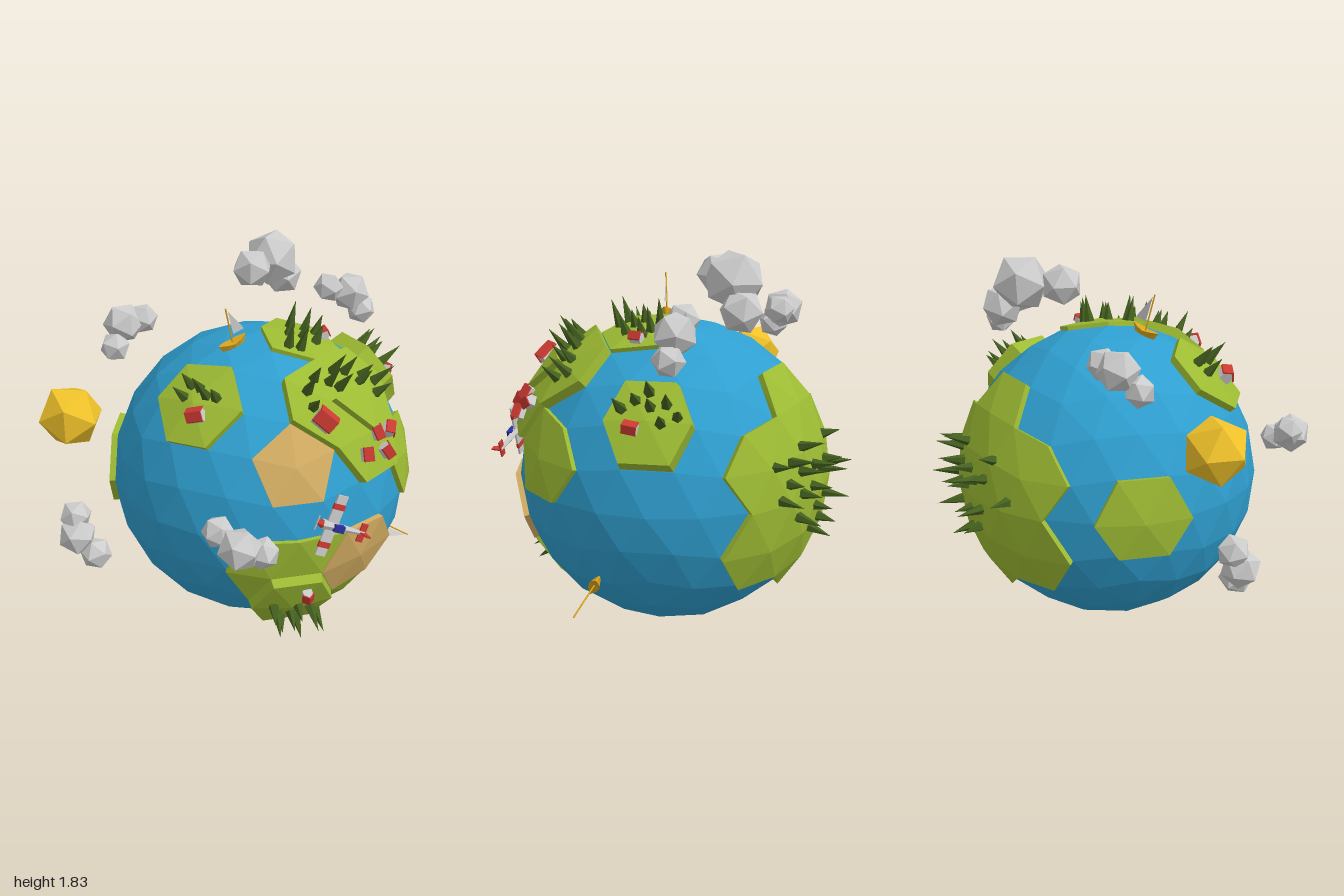
import * as THREE from 'three';

const R = 0.74, CENTER = new THREE.Vector3(0.12, 0.74, -0.08);
const V = (x, y, z) => new THREE.Vector3(x, y, z);
const mat = (color) => new THREE.MeshStandardMaterial({ color, flatShading: true, side: THREE.DoubleSide });
const M = {
  water: mat(0x2f9fd0), grass: mat(0x9dbb33), sand: mat(0xd2ac62), tree: mat(0x44601f), red: mat(0xcc3a32),
  grey: mat(0xcccccc), sun: mat(0xf0c22a), wood: mat(0xd9a520), blue: mat(0x2a2fa0)
};

// Unit direction: az runs from +z towards +x, lat is up from the equator (degrees)
function polar(az, lat) {
  const a = az * Math.PI / 180, l = lat * Math.PI / 180;
  return V(Math.sin(a) * Math.cos(l), Math.sin(l), Math.cos(a) * Math.cos(l));
}

function add(parent, name, geo, material, x = 0, y = 0, z = 0) {
  const m = new THREE.Mesh(geo, material);
  m.name = name;
  m.position.set(x, y, z);
  parent.add(m);
  return m;
}

function triangles(points) {
  const g = new THREE.BufferGeometry().setFromPoints(points);
  g.computeVertexNormals();
  return g;
}

// Icosahedron with a vertex at each pole, split twice into 320 faces
function makeIcosphere() {
  const verts = [], keys = new Map();
  const id = (v) => {
    const k = v.toArray().map((n) => Math.round(n * 1e4) + 0).join();
    if (!keys.has(k)) { keys.set(k, verts.length); verts.push(v); }
    return keys.get(k);
  };
  const lat = Math.atan(0.5) * 180 / Math.PI;
  const N = id(V(0, 1, 0)), S = id(V(0, -1, 0));
  const U = [], L = [];
  for (let k = 0; k < 5; k++) { U.push(id(polar(18 + 72 * k, lat))); L.push(id(polar(54 + 72 * k, -lat))); }
  let faces = [];
  for (let k = 0; k < 5; k++) {
    const n = (k + 1) % 5;
    faces.push([N, U[k], U[n]], [U[k], L[k], U[n]], [U[n], L[k], L[n]], [S, L[n], L[k]]);
  }
  const mid = (a, b) => id(verts[a].clone().add(verts[b]).normalize());
  for (let i = 0; i < 2; i++) {
    faces = faces.flatMap(([a, b, c]) => {
      const d = mid(a, b), e = mid(b, c), f = mid(c, a);
      return [[a, d, f], [d, b, e], [f, e, c], [d, e, f]];
    });
  }
  return { verts, faces };
}

// Raised plate over a set of sphere faces: top plus sloping rim
function slabGeometry(verts, faces, base, height, inset) {
  const edges = new Set(faces.flatMap(([a, b, c]) => [`${a},${b}`, `${b},${c}`, `${c},${a}`]));
  const rim = [...edges].map((e) => e.split(',').map(Number)).filter(([a, b]) => !edges.has(`${b},${a}`));
  const onRim = new Set(rim.flat());
  const top = (i) => {
    const v = verts[i].clone();
    if (onRim.has(i)) {
      const c = V(0, 0, 0);
      faces.filter((f) => f.includes(i)).forEach((f) => f.forEach((j) => c.add(verts[j])));
      v.lerp(c.normalize(), inset).normalize();
    }
    return v.multiplyScalar(R + height);
  };
  const low = (i) => verts[i].clone().multiplyScalar(R + base);
  const pts = faces.flatMap((f) => f.map(top));
  for (const [a, b] of rim) pts.push(low(a), low(b), top(b), low(a), top(b), top(a));
  return triangles(pts);
}

// Group standing on the globe
function stand(parent, name, dir, height, spin = 0) {
  const g = new THREE.Group();
  g.name = name;
  g.position.copy(dir).multiplyScalar(R - 0.01 + height);
  g.quaternion.setFromUnitVectors(V(0, 1, 0), dir);
  g.rotateY(spin);
  parent.add(g);
  return g;
}

// Turn a group so +y is up and +z is forward
function aim(g, up, forward) {
  const x = up.clone().cross(forward).normalize();
  const z = x.clone().cross(up).normalize();
  g.quaternion.setFromRotationMatrix(new THREE.Matrix4().makeBasis(x, up, z));
}

function prism(points, depth) {
  const shape = new THREE.Shape(points.map(([x, y]) => new THREE.Vector2(x, y)));
  return new THREE.ExtrudeGeometry(shape, { depth, bevelEnabled: false }).translate(0, 0, -depth / 2);
}

function addHouse(parent, az, lat, h, s, spin) {
  const g = stand(parent, 'house', polar(az, lat), h, spin);
  add(g, 'houseWalls', prism([[-0.4 * s, 0], [0.4 * s, 0], [0.4 * s, 0.5 * s], [0, 0.85 * s], [-0.4 * s, 0.5 * s]], s), M.grey);
  add(g, 'houseRoof', prism([[-0.52 * s, 0.42 * s], [0, 0.86 * s], [0.52 * s, 0.42 * s], [0.52 * s, 0.55 * s], [0, s], [-0.52 * s, 0.55 * s]], 1.12 * s), M.red);
}

function addBoat(parent, up, forward) {
  const g = stand(parent, 'sailboat', up, 0.015);
  aim(g, up, forward);
  // Hull tapers to points at both ends and narrows at the keel
  const hull = new THREE.BoxGeometry(0.055, 0.03, 0.15, 1, 1, 4), p = hull.attributes.position;
  for (let i = 0; i < p.count; i++) {
    const t = Math.abs(p.getZ(i)) / 0.075, keel = p.getY(i) < 0;
    p.setX(i, p.getX(i) * (1 - 0.85 * t * t) * (keel ? 0.6 : 1));
    p.setZ(i, p.getZ(i) * (keel ? 0.8 : 1));
    if (!keel) p.setY(i, 0.01 + 0.012 * t);
  }
  add(g, 'hull', hull, M.wood, 0, 0.01, 0);
  add(g, 'mast', new THREE.CylinderGeometry(0.004, 0.004, 0.19, 5), M.wood, 0, 0.11, 0);
  add(g, 'sail', triangles([V(0, 0.19, 0.008), V(0, 0.06, 0.012), V(0, 0.06, 0.075)]), M.grey);
}

function addPlane(parent) {
  const g = new THREE.Group();
  g.name = 'airplane';
  g.position.copy(V(0.53, 0.835, 0.655).sub(CENTER));
  const f = V(-0.25, 0.11, 0.09).normalize(), x = V(-0.1, -0.29, 0.07).normalize();
  aim(g, f.clone().cross(x).normalize(), f);
  parent.add(g);
  const body = new THREE.CylinderGeometry(0.024, 0.009, 0.22, 6).rotateX(Math.PI / 2);
  add(g, 'fuselage', body, M.grey, 0, 0, -0.02);
  add(g, 'nose', new THREE.CylinderGeometry(0.01, 0.024, 0.025, 6).rotateX(Math.PI / 2), M.red, 0, 0, 0.1);
  add(g, 'propeller', new THREE.BoxGeometry(0.07, 0.008, 0.004), M.grey, 0, 0, 0.115);
  add(g, 'cockpit', new THREE.BoxGeometry(0.032, 0.03, 0.05), M.blue, 0, 0.016, 0.01);
  add(g, 'wing', new THREE.BoxGeometry(0.22, 0.01, 0.055), M.grey, 0, 0, 0.04);
  for (const s of [-1, 1]) {
    add(g, 'wingTip', new THREE.BoxGeometry(0.04, 0.01, 0.05), M.grey, s * 0.13, 0, 0.04);
    add(g, 'wingBand', new THREE.BoxGeometry(0.028, 0.013, 0.057), M.red, s * 0.095, 0, 0.04);
  }
  add(g, 'tailWing', new THREE.BoxGeometry(0.09, 0.008, 0.032), M.red, 0, 0, -0.12);
  add(g, 'tailFin', prism([[0.1, 0], [0.14, 0], [0.145, 0.045], [0.125, 0.045]], 0.008).rotateY(Math.PI / 2), M.red);
}

export function createModel() {
  const model = new THREE.Group();
  model.name = 'littlePlanet';
  const globe = new THREE.Group();
  globe.name = 'globe';
  globe.position.copy(CENTER);
  model.add(globe);

  const { verts, faces } = makeIcosphere();
  add(globe, 'ocean', triangles(faces.flatMap((f) => f.map((i) => verts[i].clone().multiplyScalar(R)))), M.water);

  // Land: each entry is a union of the tiles around the given [az, lat] vertices
  const nearest = ([az, lat]) => {
    const d = polar(az, lat);
    return verts.reduce((best, v, i) => (v.dot(d) > verts[best].dot(d) ? i : best), 0);
  };
  const land = (name, tiles, height, inset, material = M.grass, base = -0.01) => {
    const ids = tiles.map(nearest);
    const chosen = faces.filter((f) => f.some((i) => ids.includes(i)));
    add(globe, name, slabGeometry(verts, chosen, base, height, inset), material);
  };
  land('frontLand', [[9, -14], [27, -14], [18, -31.7], [30, -46], [36, -29]], 0.02, 0.04);
  land('frontDune', [[45, -14]], 0.026, 0.03, M.sand);
  land('frontPlateau', [[18, -31.7]], 0.06, 0.2, M.grass, 0.015);
  land('beach', [[18, 26.6]], 0.012, 0.02, M.sand);
  land('hillLand', [[54, 31.7], [42, 46], [66, 46]], 0.05, 0.06);
  land('sideIsland', [[81, 14]], 0.025, 0.04);
  land('westIsland', [[-90, 0]], 0.03, 0.05);
  land('northWestIsland', [[-30, 46]], 0.035, 0.06);
  land('topIsland', [[90, 74]], 0.02, 0.05);
  land('cliffIsland', [[126, 31.7]], 0.08, 0.3);
  land('backLand', [[198, 31.7], [171, 14], [189, 14], [207, 14], [225, 14],
    [171, -14], [189, -14], [207, -14], [225, -14], [198, -26.6]], 0.03, 0.04);
  const step = [[42, 46], [66, 46], [54, 31.7]].map(nearest);
  add(globe, 'hillStep', slabGeometry(verts, faces.filter((f) => f.every((i) => step.includes(i))), 0.045, 0.08, 0.05), M.grass);

  // Trees: [ground height, list of [az, lat]]
  const woods = [
    [0.03, [[173, 14], [188, 18], [179, 7], [186, 10], [195, 10], [210, 17], [175, 2], [186, 2], [193, 3], [200, 7],
      [206, 9], [219, 4], [184, -6], [196, -5], [204, -3], [194, -13], [201, -11], [181, 14]]],
    [0.06, [[10, -30], [18, -36], [26, -34], [14, -40], [22, -42], [30, -38], [20, -31], [12, -35]]],
    [0.035, [[-38, 47], [-32, 52], [-26, 50], [-20, 50], [-38, 52]]],
    [0.02, [[116, 78], [78, 79], [45, 74.5], [109, 73], [81, 74], [55, 71], [105, 69], [83, 69]]],
    [0.05, [[30, 52], [38, 56], [46, 53], [54, 56], [30, 46], [50, 50], [62, 54], [72, 49], [78, 44], [72, 41], [66, 48]]],
    [0.08, [[116, 35], [121, 38], [127, 36], [133, 37], [137, 33], [131, 31], [126, 41]]]
  ];
  let n = 0;
  for (const [h, spots] of woods) {
    for (const [az, lat] of spots) {
      const tall = 0.115 + 0.025 * Math.sin(n * 2.3);
      const g = stand(globe, 'tree', polar(az, lat), h, n++);
      add(g, 'treeCone', new THREE.ConeGeometry(0.027, tall, 5), M.tree, 0, tall / 2, 0);
    }
  }

  // Houses: az, lat, ground height, size, spin
  [[22, -23, 0.06, 0.055, 0.5], [-26, 42, 0.035, 0.07, 1.5], [104, 66, 0.02, 0.055, 0.3], [32, 40.5, 0.05, 0.09, 1.2],
    [47, 25.5, 0.05, 0.06, 0.6], [56, 30.5, 0.05, 0.06, 1], [64, 29, 0.05, 0.06, 0.2], [57.5, 23.5, 0.05, 0.06, 1.4],
    [121, 29, 0.08, 0.06, 0.4]].forEach((h) => addHouse(globe, ...h));

  addBoat(globe, V(-0.12, 0.73, 0.155).normalize(), V(0.79, 0, -0.61));
  addBoat(globe, V(0.64, -0.39, -0.14).normalize(), V(0, -0.15, 0.1));
  addPlane(globe);

  // Sun and clouds
  add(model, 'sun', new THREE.IcosahedronGeometry(0.16, 0), M.sun, -0.775, 1.12, 0.2);
  const clouds = [
    [[0.06, 1.71, -0.32, 0.1], [0.15, 1.71, -0.5, 0.14], [0.2, 1.59, -0.59, 0.1]],
    [[0.44, 1.57, -0.47, 0.075], [0.55, 1.53, -0.53, 0.1], [0.61, 1.43, -0.55, 0.075]],
    [[-0.57, 1.45, -0.19, 0.1], [-0.48, 1.46, -0.24, 0.075], [-0.6, 1.36, -0.1, 0.075]],
    [[-0.76, 0.62, 0.3, 0.08], [-0.75, 0.53, 0.34, 0.095], [-0.66, 0.44, 0.35, 0.08]],
    [[0, 0.9, 0.84, 0.075], [0.1, 0.85, 0.895, 0.1], [0.2, 0.8, 0.84, 0.075]]
  ];
  clouds.forEach((puffs, c) => {
    const cloud = new THREE.Group();
    cloud.name = 'cloud';
    model.add(cloud);
    puffs.forEach(([x, y, z, r], i) => {
      add(cloud, 'cloudPuff', new THREE.IcosahedronGeometry(r * 1.03, 0), M.grey, x, y, z).rotation.set(c + i, 2 * i, c);
    });
  });
  return model;
}
